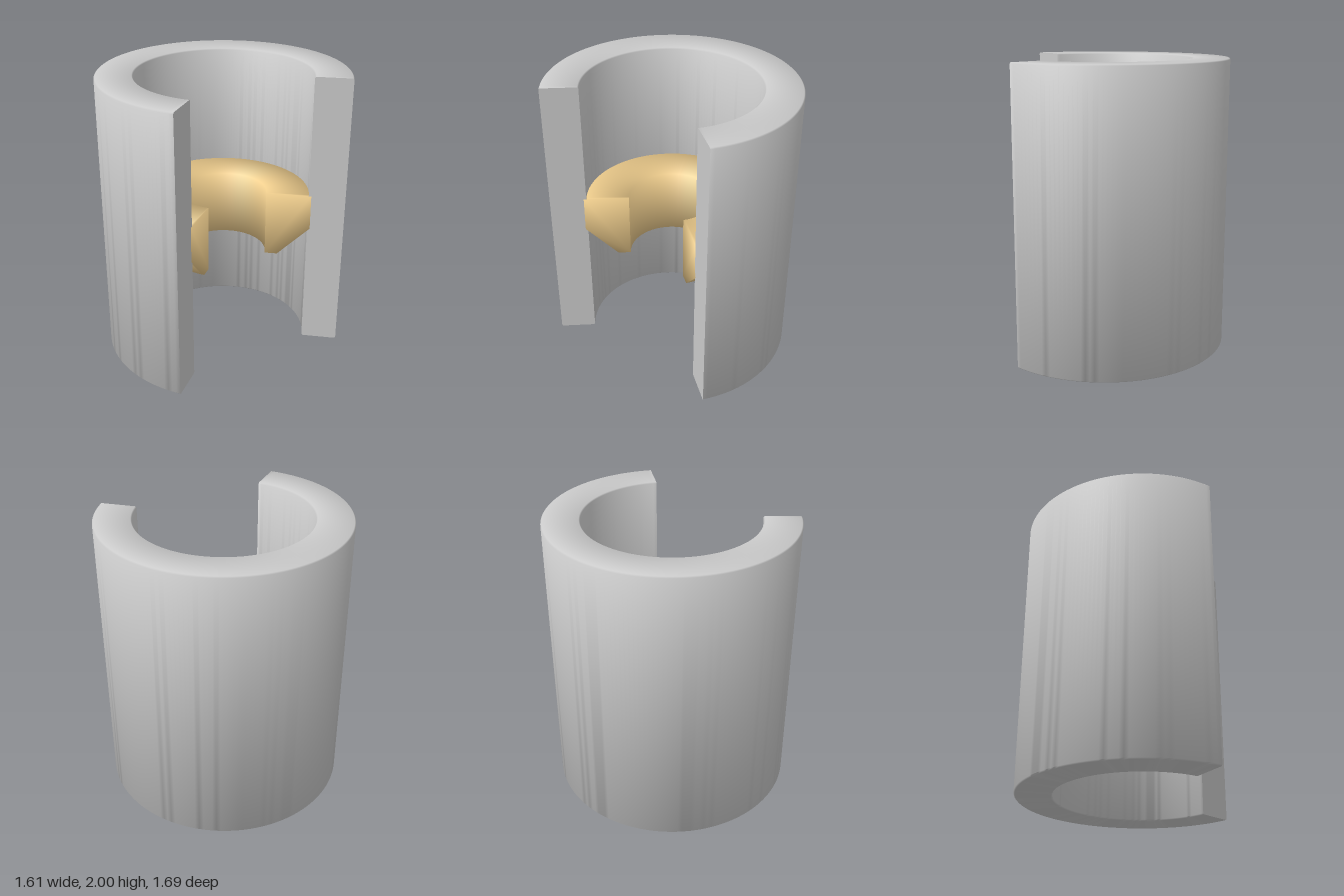
import * as THREE from 'three';
import { toCreasedNormals } from 'three/addons/utils/BufferGeometryUtils.js';

const CENTRE_X = 0.04;
const START = THREE.MathUtils.degToRad(25.1);
const END = THREE.MathUtils.degToRad(284.3);

// Sweeps a closed [radius, height] profile round the y axis, with capped ends
function sweep(name, profile, material, crease, trim = 0) {
  const shape = new THREE.Shape(profile.map(([r, y]) => new THREE.Vector2(r, y)));
  const geometry = new THREE.ExtrudeGeometry(shape, {
    depth: END - START - 2 * trim, steps: 128, bevelEnabled: false,
  });
  const p = geometry.attributes.position;
  for (let i = 0; i < p.count; i++) {
    const r = p.getX(i);
    const angle = END - trim - p.getZ(i);
    p.setXYZ(i, r * Math.cos(angle), p.getY(i), -r * Math.sin(angle));
  }
  const mesh = new THREE.Mesh(toCreasedNormals(geometry, crease), material);
  mesh.name = name;
  return mesh;
}

export function createModel() {
  const grey = new THREE.MeshStandardMaterial({ color: 0xcccccc });
  const gold = new THREE.MeshStandardMaterial({ color: 0xf2d08f });
  const group = new THREE.Group();
  group.name = 'cutawayCylinder';

  // Thick outer wall with small bevels on its rims
  const inner = 0.595, outer = 0.847, b = 0.008;
  group.add(sweep('outerShell', [
    [inner + b, 0], [outer - b, 0], [outer, b], [outer, 2 - b],
    [outer - b, 2], [inner + b, 2], [inner, 2 - b], [inner, b],
  ], grey, 0.9));

  // Inner collar, chamfered underneath and seated slightly into the wall
  group.add(sweep('innerCollar', [
    [0.3, 0.68], [0.388, 0.68], [0.613, 0.9], [0.613, 1.15], [0.3, 1.15],
  ], gold, 1.7));

  // Core embedded just under the collar's surface
  group.add(sweep('collarCore', [
    [0.304, 0.73], [0.41, 0.73], [0.41, 1.11], [0.304, 1.11],
  ], grey, 0.9, 0.01));

  group.children.forEach((part) => { part.position.x = CENTRE_X; });
  return group;
}
